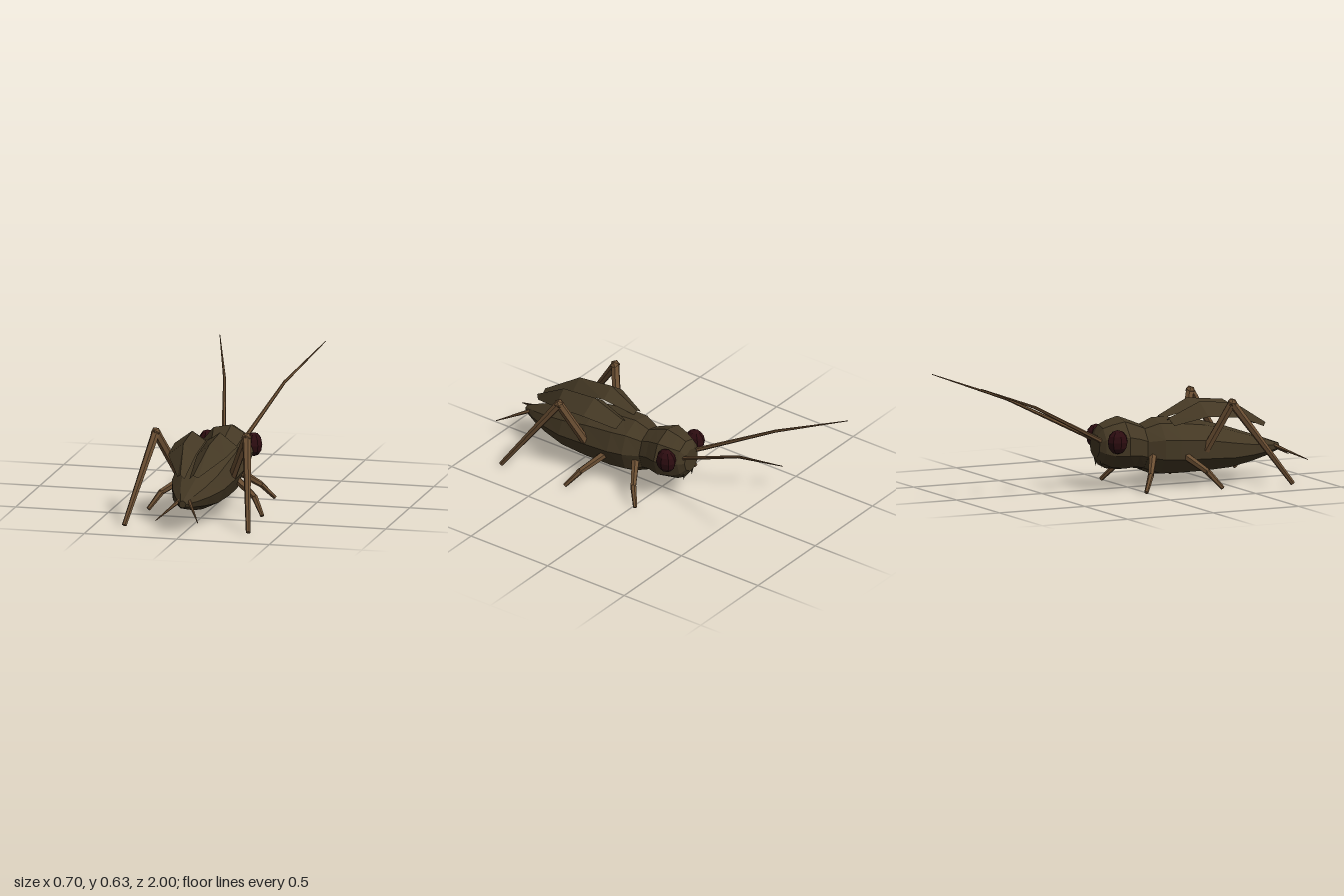
import * as THREE from 'three';

const mat = (name, color, opts = {}) =>
  new THREE.MeshStandardMaterial({ name, color, flatShading: true, ...opts });

// Closed skin over elliptical rings [z, bottom, top, halfWidth], nine-sided
function loft(rings, sides = 9) {
  const pos = [], idx = [];
  for (const [z, lo, hi, w] of rings) {
    for (let j = 0; j < sides; j++) {
      const a = (j / sides) * Math.PI * 2 + 0.02;
      pos.push(w * Math.cos(a), (lo + hi) / 2 + ((hi - lo) / 2) * Math.sin(a), z);
    }
  }
  const last = rings.length - 1;
  for (let i = 0; i < last; i++) {
    for (let j = 0; j < sides; j++) {
      const k = (j + 1) % sides, a = i * sides, b = a + sides;
      idx.push(a + j, a + k, b + k, a + j, b + k, b + j);
    }
  }
  for (const i of [0, last]) {
    const c = pos.length / 3, [z, lo, hi] = rings[i];
    pos.push(0, (lo + hi) / 2, z);
    for (let j = 0; j < sides; j++) {
      const a = i * sides + j, b = i * sides + ((j + 1) % sides);
      idx.push(c, ...(i ? [a, b] : [b, a]));
    }
  }
  return geometry(pos, idx);
}

// Open sheet through rows of points
function sheet(rows) {
  const n = rows[0].length, idx = [];
  for (let i = 0; i < rows.length - 1; i++) {
    for (let j = 0; j < n - 1; j++) {
      const a = i * n + j, b = a + n;
      idx.push(a, b, b + 1, a, b + 1, a + 1);
    }
  }
  return geometry(rows.flat(2), idx);
}

function geometry(pos, idx) {
  const g = new THREE.BufferGeometry();
  g.setAttribute('position', new THREE.Float32BufferAttribute(pos, 3));
  g.setIndex(idx);
  g.computeVertexNormals();
  return g;
}

export function createModel() {
  const shell = mat('dark olive shell', 0x443824);
  const wingMat = mat('dark olive wing', 0x443824, { side: THREE.DoubleSide });
  const limb = mat('brown limb', 0x6a4e32);
  const eyeMat = mat('dark red eye', 0x2c0c10);
  const model = new THREE.Group();
  model.name = 'cricket';

  const add = (parent, name, geo, material) => {
    const m = new THREE.Mesh(geo, material);
    m.name = name;
    parent.add(m);
    return m;
  };

  // Jointed limb: tapered rods through points [x, y, z, radius], with a knob at each joint
  function jointed(name, side, points, knob = 1) {
    const group = new THREE.Group();
    group.name = name;
    const up = new THREE.Vector3(0, 1, 0);
    const at = ([x, y, z]) => new THREE.Vector3(x * side, y, z);
    for (let i = 0; i < points.length - 1; i++) {
      const a = at(points[i]), b = at(points[i + 1]);
      const d = b.clone().sub(a);
      const rod = add(group, name + 'Segment',
        new THREE.CylinderGeometry(points[i + 1][3], points[i][3], d.length(), 6), limb);
      rod.position.copy(a).add(b).multiplyScalar(0.5);
      rod.quaternion.setFromUnitVectors(up, d.normalize());
      if (i > 0) {
        add(group, name + 'Joint', new THREE.IcosahedronGeometry(points[i][3] * knob, 0), limb)
          .position.copy(a);
      }
    }
    model.add(group);
  }

  // Abdomen and thorax, tapering to the tail
  add(model, 'body', loft([
    [0.07, 0.09, 0.33, 0.108],
    [0.155, 0.055, 0.362, 0.15],
    [0.24, 0.052, 0.357, 0.165],
    [0.41, 0.055, 0.335, 0.163],
    [0.57, 0.065, 0.29, 0.145],
    [0.70, 0.09, 0.245, 0.105],
    [0.80, 0.115, 0.21, 0.062],
    [0.88, 0.142, 0.18, 0.019],
  ]), shell);

  // Head
  add(model, 'head', loft([
    [-0.19, 0.17, 0.30, 0.06],
    [-0.165, 0.13, 0.345, 0.09],
    [-0.12, 0.105, 0.364, 0.115],
    [-0.05, 0.095, 0.382, 0.143],
    [0.02, 0.10, 0.355, 0.118],
    [0.08, 0.09, 0.33, 0.106],
  ]), shell);

  for (const s of [1, -1]) {
    const side = s > 0 ? 'left' : 'right';

    // Raised ridged wing cover: inner edge, ridge, outer edge
    add(model, side + 'Wing', sheet([
      [[0.035, 0.345, 0.21], [0.06, 0.36, 0.21], [0.11, 0.325, 0.22]],
      [[0.003, 0.39, 0.385], [0.075, 0.44, 0.385], [0.17, 0.37, 0.39]],
      [[0.003, 0.36, 0.59], [0.07, 0.42, 0.59], [0.155, 0.352, 0.58]],
      [[0.013, 0.275, 0.79], [0.035, 0.297, 0.79], [0.055, 0.28, 0.77]],
    ].map(row => row.map(([x, y, z]) => [x * s, y, z]))), wingMat);

    // Bulging eye
    const eye = add(model, side + 'Eye', new THREE.SphereGeometry(1, 8, 6), eyeMat);
    eye.scale.set(0.046, 0.064, 0.058);
    eye.position.set(0.126 * s, 0.265, -0.12);

    // Mouth feeler
    const palp = add(model, side + 'Mouthpart', new THREE.ConeGeometry(0.016, 0.07, 5), shell);
    palp.position.set(0.035 * s, 0.155, -0.168);
    palp.rotation.x = Math.PI;

    // Legs, antennae and tail feelers
    jointed(side + 'HindLeg', s,
      [[0.135, 0.19, 0.39, 0.024], [0.245, 0.447, 0.49, 0.023], [0.335, 0.012, 0.80, 0.013]], 1.2);
    jointed(side + 'MiddleLeg', s,
      [[0.13, 0.17, 0.27, 0.022], [0.252, 0.093, 0.345, 0.017], [0.308, 0.01, 0.405, 0.011]]);
    jointed(side + 'FrontLeg', s,
      [[0.10, 0.17, 0.10, 0.022], [0.205, 0.09, 0.035, 0.016], [0.265, 0.01, -0.022, 0.011]]);
    jointed(side + 'Antenna', s,
      [[0.05, 0.26, -0.17, 0.012], [0.162, 0.487, -0.62, 0.008], [0.286, 0.628, -1.0, 0.002]]);
    jointed(side + 'TailFeeler', s,
      [[0.025, 0.172, 0.84, 0.011], [0.114, 0.095, 1.0, 0.002]]);
  }
  return model;
}
